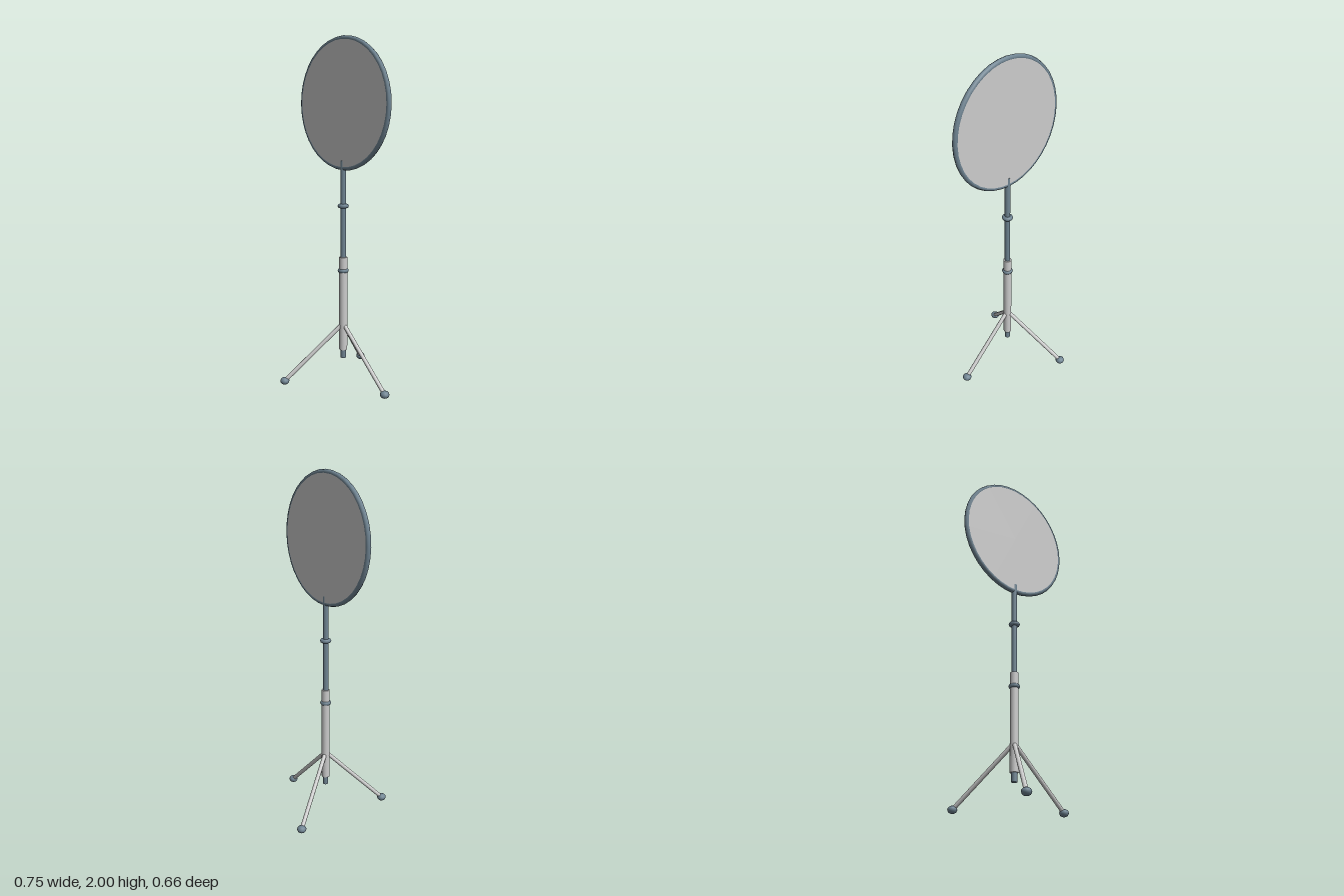
import * as THREE from 'three';

const grey = new THREE.MeshStandardMaterial({ color: 0xcccccc });
const slate = new THREE.MeshStandardMaterial({ color: 0x6f8492 });

export function createModel() {
  const model = new THREE.Group();

  const add = (name, geometry, material, x = 0, y = 0, z = 0) => {
    const mesh = new THREE.Mesh(geometry, material);
    mesh.name = name;
    mesh.position.set(x, y, z);
    model.add(mesh);
    return mesh;
  };

  // Upright cylinder between two heights
  const post = (name, radius, y0, y1, material) =>
    add(name, new THREE.CylinderGeometry(radius, radius, y1 - y0, 16), material, 0, (y0 + y1) / 2, 0);

  // Round panel and its rim
  const panelY = 1.627;
  add('panel', new THREE.CylinderGeometry(0.358, 0.358, 0.026, 40), grey, 0, panelY, 0).rotation.x = Math.PI / 2;
  add('rim', new THREE.TorusGeometry(0.358, 0.015, 8, 40), slate, 0, panelY, 0);

  // Telescopic pole
  post('innerPole', 0.016, 0.14, 1.31, slate);
  post('outerTube', 0.024, 0.19, 0.75, grey);

  // Clamp collars
  for (const y of [0.67, 1.05]) {
    add('collar', new THREE.TorusGeometry(0.02, 0.0125, 8, 16), slate, 0, y, 0).rotation.x = Math.PI / 2;
  }

  // Tripod legs and rubber feet
  const hub = new THREE.Vector3(0, 0.35, 0);
  const up = new THREE.Vector3(0, 1, 0);
  for (let i = 0; i < 3; i++) {
    const angle = (i * Math.PI * 2) / 3;
    const foot = new THREE.Vector3(0.35 * Math.cos(angle), 0.0215, 0.35 * Math.sin(angle));
    const direction = hub.clone().sub(foot);
    const leg = add('leg', new THREE.CylinderGeometry(0.012, 0.012, direction.length(), 12), grey);
    leg.position.copy(hub).add(foot).multiplyScalar(0.5);
    leg.quaternion.setFromUnitVectors(up, direction.normalize());
    add('foot', new THREE.SphereGeometry(0.027, 12, 8), slate, foot.x, foot.y, foot.z).scale.y = 0.8;
  }

  return model;
}
